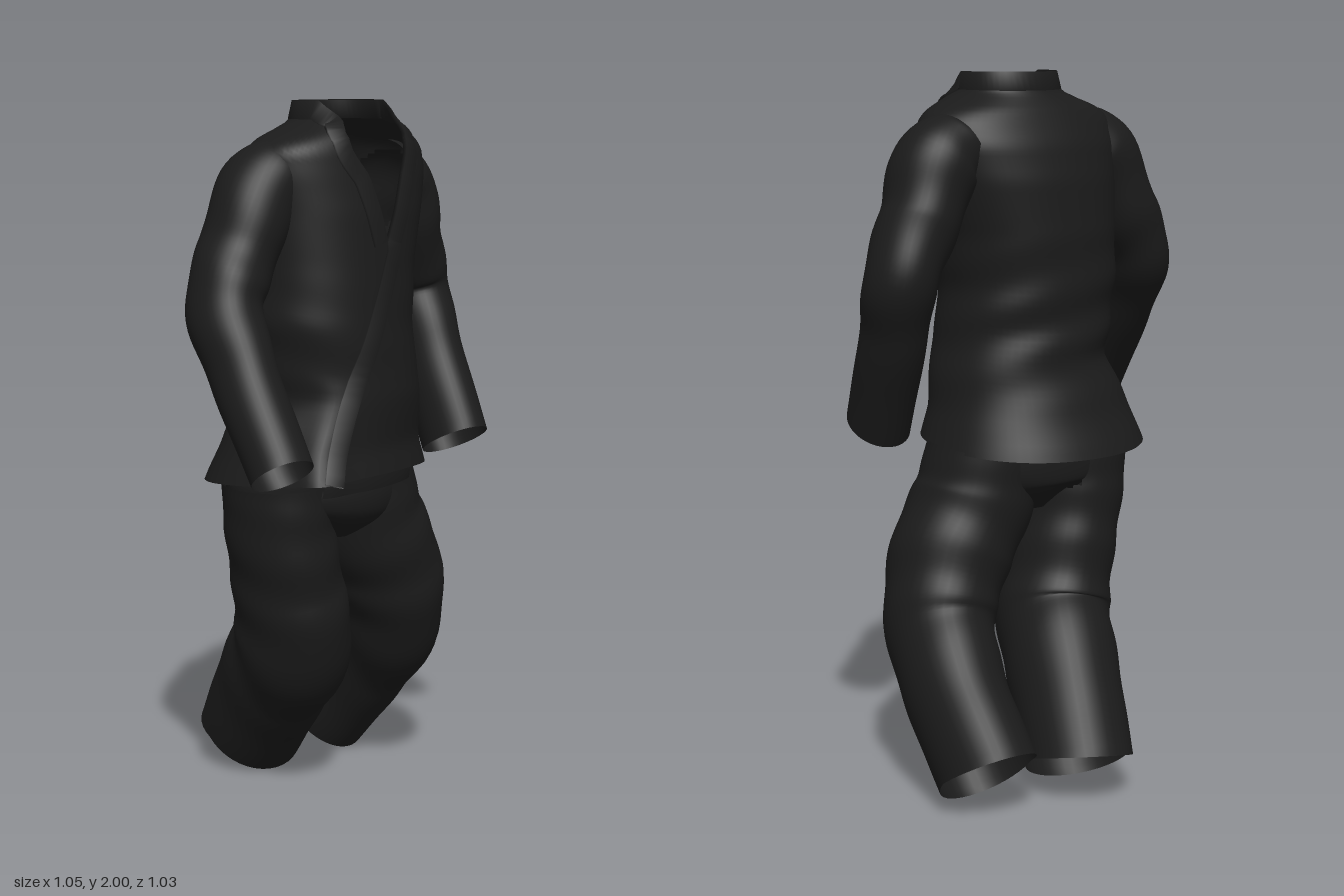
import * as THREE from 'three';

const V = (x, y, z) => new THREE.Vector3(x, y, z);
const cloth = new THREE.MeshStandardMaterial({ color: 0x1b1b1b, side: THREE.DoubleSide });
cloth.name = 'black cloth';

// Surface from a grid of points; cells whose first corner is hidden by another part are left out
function skin(name, rows, { flip = false, closed = true, hidden = () => false } = {}) {
  const pos = [], idx = [], n = rows[0].length;
  rows.forEach(r => r.forEach(p => pos.push(p.x, p.y, p.z)));
  for (let i = 0; i < rows.length - 1; i++) {
    for (let j = 0; j < (closed ? n : n - 1); j++) {
      if (hidden(rows[i][j])) continue;
      const a = i * n + j, b = i * n + (j + 1) % n, c = a + n, d = b + n;
      if (flip) idx.push(a, c, b, b, c, d);
      else idx.push(a, b, c, b, d, c);
    }
  }
  const g = new THREE.BufferGeometry();
  g.setAttribute('position', new THREE.Float32BufferAttribute(pos, 3));
  g.setIndex(idx);
  g.computeVertexNormals();
  const m = new THREE.Mesh(g, cloth);
  m.name = name;
  return m;
}

// Piecewise interpolation in a table whose first column is the key
function look(table, k, col) {
  if (k <= table[0][0]) return table[0][col];
  for (let i = 1; i < table.length; i++) {
    const a = table[i - 1], b = table[i];
    if (k <= b[0]) return a[col] + (b[col] - a[col]) * (k - a[0]) / (b[0] - a[0]);
  }
  return table[table.length - 1][col];
}

// Jacket body sections: y, centre x, centre z, half width, half depth
const BODY = [
  [0.93, -0.03, 0.045, 0.335, 0.3], [1.05, -0.025, 0.055, 0.295, 0.255],
  [1.2, 0, 0.075, 0.25, 0.235], [1.3, -0.02, 0.075, 0.252, 0.23],
  [1.4, -0.03, 0.075, 0.258, 0.228], [1.55, -0.02, 0.065, 0.265, 0.225],
  [1.7, 0, 0.06, 0.29, 0.215], [1.8, 0.01, 0.06, 0.31, 0.195],
  [1.87, 0.01, 0.07, 0.3, 0.17], [1.91, 0.015, 0.075, 0.235, 0.155],
  [1.935, 0.025, 0.085, 0.15, 0.138], [2, 0.025, 0.08, 0.13, 0.122],
];
// Stations of tubes: x, y, z, half width, half depth
const LEFT_ARM = [
  [0.22, 1.79, -0.01, 0.1, 0.12], [0.285, 1.75, -0.03, 0.123, 0.128], [0.35, 1.6, -0.055, 0.112, 0.125],
  [0.417, 1.45, -0.085, 0.102, 0.112], [0.415, 1.28, -0.015, 0.092, 0.112], [0.41, 1.01, 0.125, 0.088, 0.113],
];
const RIGHT_ARM = [
  [-0.18, 1.81, 0.085, 0.09, 0.11], [-0.25, 1.77, 0.095, 0.115, 0.123], [-0.345, 1.6, 0.115, 0.108, 0.118],
  [-0.417, 1.46, 0.155, 0.102, 0.115], [-0.432, 1.29, 0.265, 0.09, 0.1], [-0.433, 1.045, 0.443, 0.086, 0.086],
];
// Neck opening height by angle from the front
const NECK = [[0, 1.62], [0.1, 1.71], [0.2, 1.8], [0.42, 1.895], [0.75, 1.94], [1.3, 1.995], [3.2, 1.995]];
const TURN = 0.2;
const neckY = a => look(NECK, Math.min(a, 2 * Math.PI - a), 1);
const angleAt = u => 2 * Math.PI * u - 0.8 * Math.sin(2 * Math.PI * u);
const path = st => new THREE.CatmullRomCurve3(st.map(s => V(s[0], s[1], s[2])), false, 'centripetal');

function bodyPoint(a, y, scale = 1) {
  const f = c => [-0.015, 0, 0.015].reduce((s, d) => s + look(BODY, y + d, c), 0) / 3;
  const soft = v => Math.sign(v) * Math.abs(v) ** 0.92;
  const side = Math.atan2(Math.sin(a), Math.cos(a));
  // Diagonal folds round the waist
  const fade = Math.max(0, 1 - Math.abs(y - 1.28) / 0.3);
  const fold = 0.03 * fade * Math.sin(38 * y + 2.5 * Math.sin(a + 0.6)) * (0.6 - 0.4 * Math.cos(a));
  // The overlapping front panel swings out at its lower corner
  const low = Math.max(0, Math.min(1, (1.25 - y) / 0.27));
  const flare = low * (0.17 * Math.exp(-(((side + 0.74) / 0.24) ** 2)) - 0.07 * Math.exp(-(((side - 0.25) / 0.5) ** 2)));
  const k = (1 + fold + flare) * scale;
  const x = f(3) * soft(Math.sin(a)) * k, z = f(4) * soft(Math.cos(a)) * k;
  return V(f(1) + x * Math.cos(TURN) + z * Math.sin(TURN), y,
    f(2) - x * Math.sin(TURN) + z * Math.cos(TURN));
}

// Tests for cloth that would lie inside another part
function insideBody(p) {
  const x = p.x - look(BODY, p.y, 1), z = p.z - look(BODY, p.y, 2);
  const u = (x * Math.cos(TURN) - z * Math.sin(TURN)) / look(BODY, p.y, 3);
  const w = (x * Math.sin(TURN) + z * Math.cos(TURN)) / look(BODY, p.y, 4);
  return p.y > 1.4 && u * u + w * w < 0.78;
}
const armPoints = [LEFT_ARM, RIGHT_ARM].flatMap(st => path(st).getPoints(30).slice(0, 17));
const insideArm = p => armPoints.some(q => q.distanceTo(p) < 0.085);
const insideHips = p => p.y > 0.84 && (p.x / 0.29) ** 2 + (p.z / 0.185) ** 2 < 0.7;

// Angle on the front of the body at which a height reaches a given x
function angleForX(x, y) {
  let lo = -1.3, hi = 1.3;
  for (let i = 0; i < 24; i++) {
    const mid = (lo + hi) / 2;
    if (bodyPoint(mid, y).x < x) lo = mid;
    else hi = mid;
  }
  return lo;
}

function jacketBody() {
  const rows = [];
  for (let i = 0; i <= 70; i++) {
    const v = 1 - (1 - i / 70) ** 1.4, row = [];
    for (let j = 0; j < 120; j++) {
      const a = angleAt(j / 120), hem = 0.957 + 0.026 * Math.cos(a);
      row.push(bodyPoint(a, hem + (neckY(a) - hem) * v));
    }
    rows.push(row);
  }
  return skin('jacketBody', rows, { hidden: insideArm });
}

// Under layer of the crossed front, ending on the opposite diagonal
function innerPanel() {
  const rows = [];
  for (let i = 0; i <= 30; i++) {
    const t = i / 30, y = 0.935 + 0.665 * t, row = [];
    const start = angleForX(-0.24 + 0.27 * t, y), end = angleForX(0.22 - 0.16 * t, y);
    for (let j = 0; j <= 20; j++) row.push(bodyPoint(start + (end - start) * j / 20, y, 0.84 + 0.13 * Math.sqrt(t)));
    rows.push(row);
  }
  return skin('innerPanel', rows, { closed: false });
}

// Flat band laid on the body along a list of [angle, y]
function band(name, line, width, thick) {
  const pts = line.map(([a, y]) => bodyPoint(a, y));
  const rows = line.map(([a, y], i) => {
    const p = pts[i];
    const da = bodyPoint(a + 0.03, y).sub(bodyPoint(a - 0.03, y));
    const dy = p.clone().sub(bodyPoint(a, y - 0.03));
    const n = da.cross(dy).normalize();
    const t = pts[Math.min(i + 1, pts.length - 1)].clone().sub(pts[Math.max(i - 1, 0)]).normalize();
    const w = t.cross(n).normalize();
    return [[0, -1], [1, -1], [1, 1], [0, 1]].map(([s, h]) =>
      p.clone().addScaledVector(w, s * width).addScaledVector(n, h * thick));
  });
  return skin(name, rows, { flip: true });
}

// Cloth tube through stations; cuff lengthens the back edge of its end
function tube(name, st, { folds = 30, amount = 0.03, cuff = 0, hidden } = {}) {
  const curve = path(st);
  const radii = new THREE.CatmullRomCurve3(st.map(s => V(s[3], s[4], 0)), false, 'catmullrom');
  const rows = [];
  for (let i = 0; i <= 54; i++) {
    const t = i / 54, p = curve.getPoint(t), r = radii.getPoint(t), T = curve.getTangent(t);
    const U = V(1, 0, 0).addScaledVector(T, -T.x).normalize();
    const W = U.clone().cross(T).normalize();
    const row = [];
    for (let j = 0; j < 40; j++) {
      const a = j / 40 * Math.PI * 2;
      const k = 1 + amount * Math.sin(Math.PI * t) * Math.sin(folds * t + 2 * Math.sin(a));
      row.push(p.clone().addScaledVector(U, r.x * k * Math.cos(a)).addScaledVector(W, r.y * k * Math.sin(a))
        .addScaledVector(T, cuff * t ** 6 * Math.max(0, Math.sin(a))));
    }
    rows.push(row);
  }
  return skin(name, rows, { flip: true, hidden });
}

export function createModel() {
  const model = new THREE.Group();
  model.name = 'martialArtsSuit';

  // Jacket
  const jacket = new THREE.Group();
  jacket.name = 'jacket';
  const lapel = [];
  for (let i = 0; i < 24; i++) {
    const y = 0.982 + 0.638 * i / 24;
    lapel.push([angleForX(-0.225 + 0.27 * i / 24, y), y]);
  }
  for (let i = 0; i <= 90; i++) lapel.push([angleAt(i / 90), neckY(angleAt(i / 90))]);
  jacket.add(jacketBody(), innerPanel(), band('lapelAndCollar', lapel, 0.052, 0.006));
  jacket.add(tube('leftSleeve', LEFT_ARM, { hidden: insideBody }));
  jacket.add(tube('rightSleeve', RIGHT_ARM, { hidden: insideBody }));
  model.add(jacket);

  // Trousers, with both knees bent backwards
  const trousers = new THREE.Group();
  trousers.name = 'trousers';
  trousers.add(tube('hips', [
    [0, 1.11, 0.04, 0.235, 0.185], [0, 1.03, 0.02, 0.265, 0.185], [0, 0.93, 0.01, 0.295, 0.188],
    [0, 0.85, 0.015, 0.25, 0.178], [-0.01, 0.77, 0.015, 0.08, 0.1],
  ], { folds: 12, amount: 0.01 }));
  trousers.add(tube('leftLeg', [
    [0.14, 0.93, 0, 0.16, 0.175], [0.17, 0.8, 0, 0.172, 0.175], [0.25, 0.64, -0.015, 0.172, 0.18],
    [0.302, 0.47, -0.06, 0.155, 0.182], [0.314, 0.3, -0.2, 0.14, 0.172], [0.288, 0.11, -0.365, 0.136, 0.17],
  ], { folds: 34, amount: 0.022, cuff: 0.03, hidden: insideHips }));
  trousers.add(tube('rightLeg', [
    [-0.145, 0.93, 0.01, 0.152, 0.175], [-0.14, 0.8, 0.01, 0.148, 0.175], [-0.105, 0.63, 0, 0.152, 0.18],
    [-0.065, 0.455, -0.03, 0.162, 0.19], [-0.033, 0.3, -0.17, 0.158, 0.182], [-0.008, 0.1, -0.325, 0.15, 0.163],
  ], { folds: 34, amount: 0.022, cuff: 0.06, hidden: insideHips }));
  model.add(trousers);
  return model;
}
